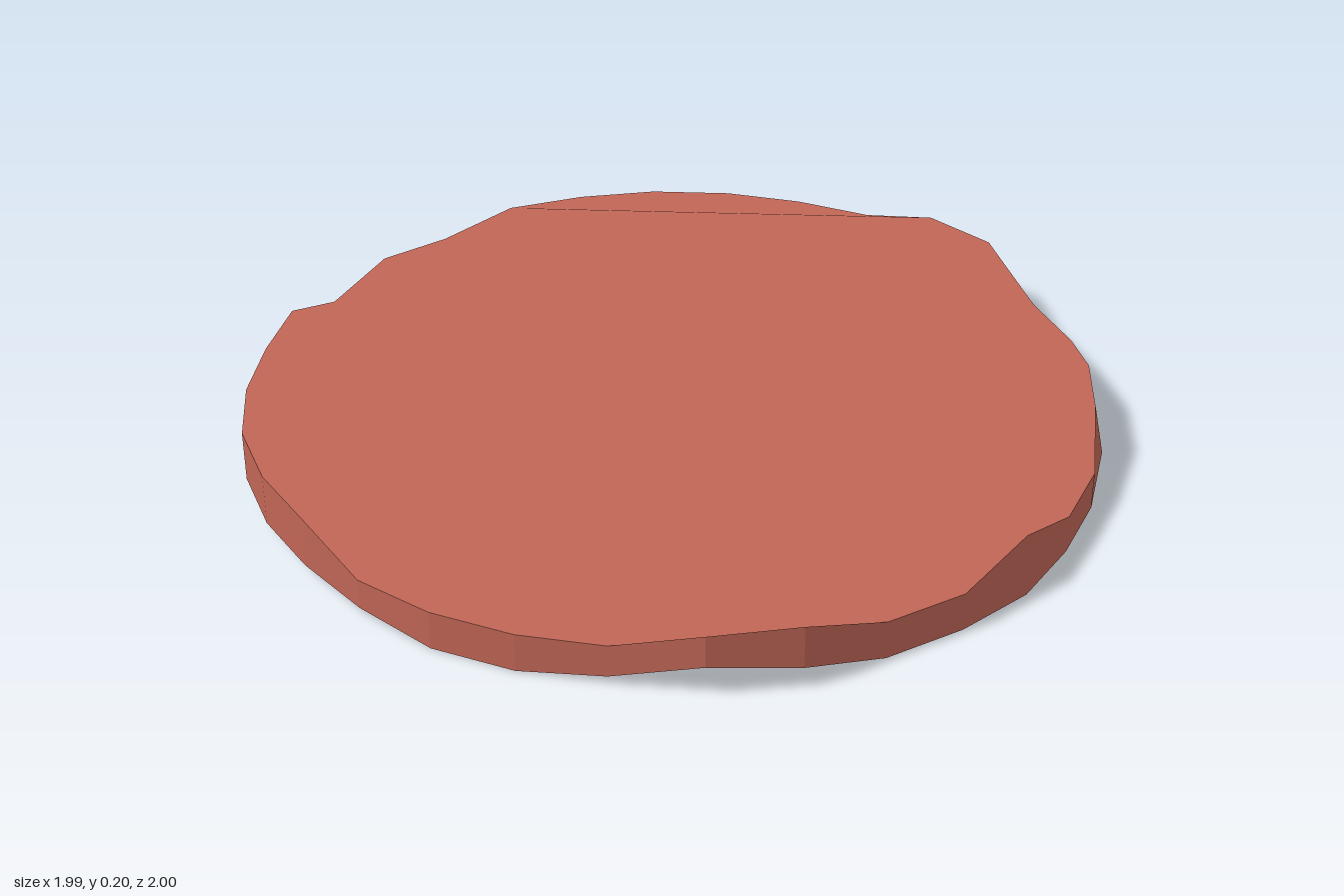
import * as THREE from 'three';

// Rim stations, 32 around the disc: back, right side (-x), front, left side (+x)
const radius = [
  1, 1, 1, 0.996, 0.99, 1.016, 1.01, 1.0, 0.995, 0.99, 0.99, 0.99, 0.985, 0.985, 1.022, 1.02,
  0.985, 0.988, 0.995, 0.985, 0.985, 0.99, 0.995, 0.99, 0.99, 0.992, 0.99, 0.995, 0.995, 1.021, 1.024, 1,
];
const topY = [
  0.15, 0.11, 0.12, 0.08, 0.15, 0.15, 0.15, 0.15, 0.15, 0.15, 0.09, 0.09, 0.09, 0.095, 0.15, 0.15,
  0.09, 0.09, 0.145, 0.09, 0.09, 0.15, 0.15, 0.11, 0.11, 0.2, 0.2, 0.15, 0.15, 0.14, 0.14, 0.15,
];
// Raised stations of the lower rim, and stations where the upper rim is drawn in
const bottomY = { 5: 0.035, 6: 0.03, 7: 0.03, 8: 0.03, 9: 0.03, 10: 0.02, 13: 0.02, 14: 0.075, 15: 0.05, 21: 0.03, 22: 0.03, 25: 0.05, 26: 0.05 };
const inset = { 5: 0.035, 6: 0.02, 18: 0.01, 21: 0.025, 22: 0.025 };

function makeMesh(name, positions, material, normalY = 0) {
  const geometry = new THREE.BufferGeometry();
  geometry.setAttribute('position', new THREE.Float32BufferAttribute(positions, 3));
  geometry.computeVertexNormals();
  // Broad faces shade as one even surface
  if (normalY) {
    const n = geometry.attributes.normal;
    for (let i = 0; i < n.count; i++) n.setXYZ(i, 0, normalY, 0);
  }
  const mesh = new THREE.Mesh(geometry, material);
  mesh.name = name;
  return mesh;
}

// One even normal for each four-sided rim panel (two triangles, six corners)
function flattenPanels(geometry) {
  const n = geometry.attributes.normal;
  const a = new THREE.Vector3(), b = new THREE.Vector3();
  for (let i = 0; i < n.count; i += 6) {
    a.fromBufferAttribute(n, i).add(b.fromBufferAttribute(n, i + 3)).normalize();
    for (let k = 0; k < 6; k++) n.setXYZ(i + k, a.x, a.y, a.z);
  }
}

export function createModel() {
  const group = new THREE.Group();
  group.name = 'wavyDisc';
  const clay = new THREE.MeshStandardMaterial({ color: 0xc06656 });
  clay.name = 'clay red';

  const count = radius.length;
  const station = (i, r, y) => {
    const a = (i / count) * Math.PI * 2;
    return [-Math.sin(a) * r, y, -Math.cos(a) * r];
  };
  const upper = radius.map((r, i) => station(i, r - (inset[i] || 0), topY[i]));
  const lower = radius.map((r, i) => station(i, r, bottomY[i] || 0));

  // Top: the right half fans from the front station, the left half from the back
  const top = [];
  for (let i = 0; i < count - 1; i++) {
    const apex = i < 15 ? 16 : 0;
    if (i !== 15) top.push(...upper[apex], ...upper[i], ...upper[i + 1]);
  }

  // Bottom: one fan from a low station at the back right
  const bottom = [];
  for (let k = 1; k < count - 1; k++) {
    bottom.push(...lower[3], ...lower[(k + 4) % count], ...lower[(k + 3) % count]);
  }

  // Rim panels
  const side = [];
  for (let i = 0; i < count; i++) {
    const j = (i + 1) % count;
    side.push(...lower[i], ...lower[j], ...upper[j], ...lower[i], ...upper[j], ...upper[i]);
  }
  const rim = makeMesh('rim', side, clay);
  flattenPanels(rim.geometry);

  group.add(
    makeMesh('topFace', top, clay, 1),
    makeMesh('bottomFace', bottom, clay, -1),
    rim,
  );
  return group;
}
